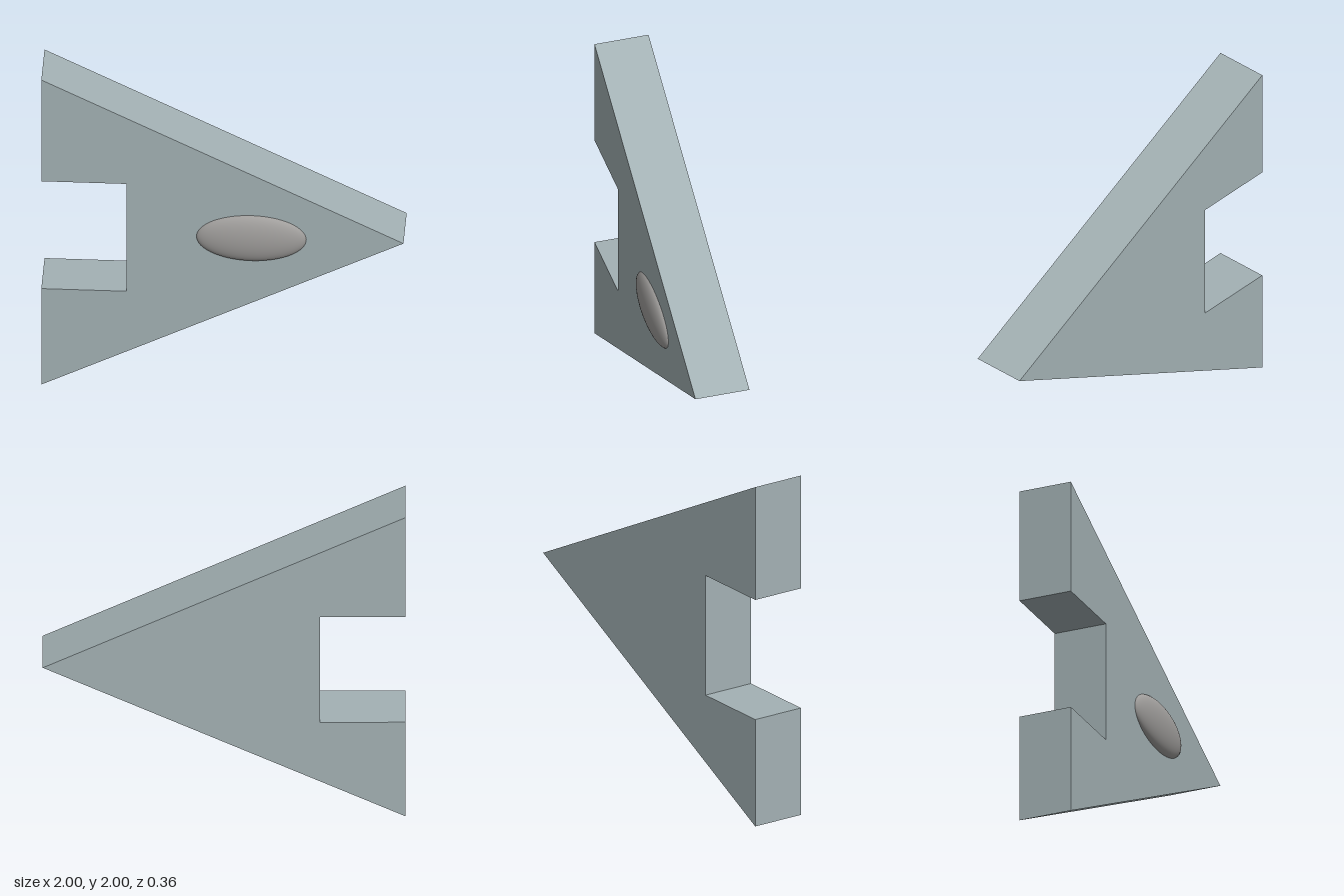
import * as THREE from 'three';

export function createModel() {
  const group = new THREE.Group();
  group.name = 'notchedArrowhead';

  // Triangular plate with a square notch in its flat left edge
  const outline = new THREE.Shape([
    [-1, 0], [1, 1], [-1, 2], [-1, 1.335], [-0.53, 1.335], [-0.53, 0.63], [-1, 0.63],
  ].map(([x, y]) => new THREE.Vector2(x, y)));
  const back = -0.18, front = 0.13;
  const plate = new THREE.Mesh(
    new THREE.ExtrudeGeometry(outline, { depth: front - back, bevelEnabled: false }),
    new THREE.MeshStandardMaterial({ color: 0xa3b1b4 }),
  );
  plate.name = 'plate';
  plate.position.z = back;
  group.add(plate);

  // Smooth oval boss, half sunk into the front face
  const boss = new THREE.Mesh(
    new THREE.SphereGeometry(1, 48, 32),
    new THREE.MeshStandardMaterial({ color: 0xa09e9c }),
  );
  boss.name = 'ovalBoss';
  boss.scale.set(0.305, 0.148, 0.055);
  boss.position.set(0.16, 1.005, 0.125);
  group.add(boss);

  return group;
}
